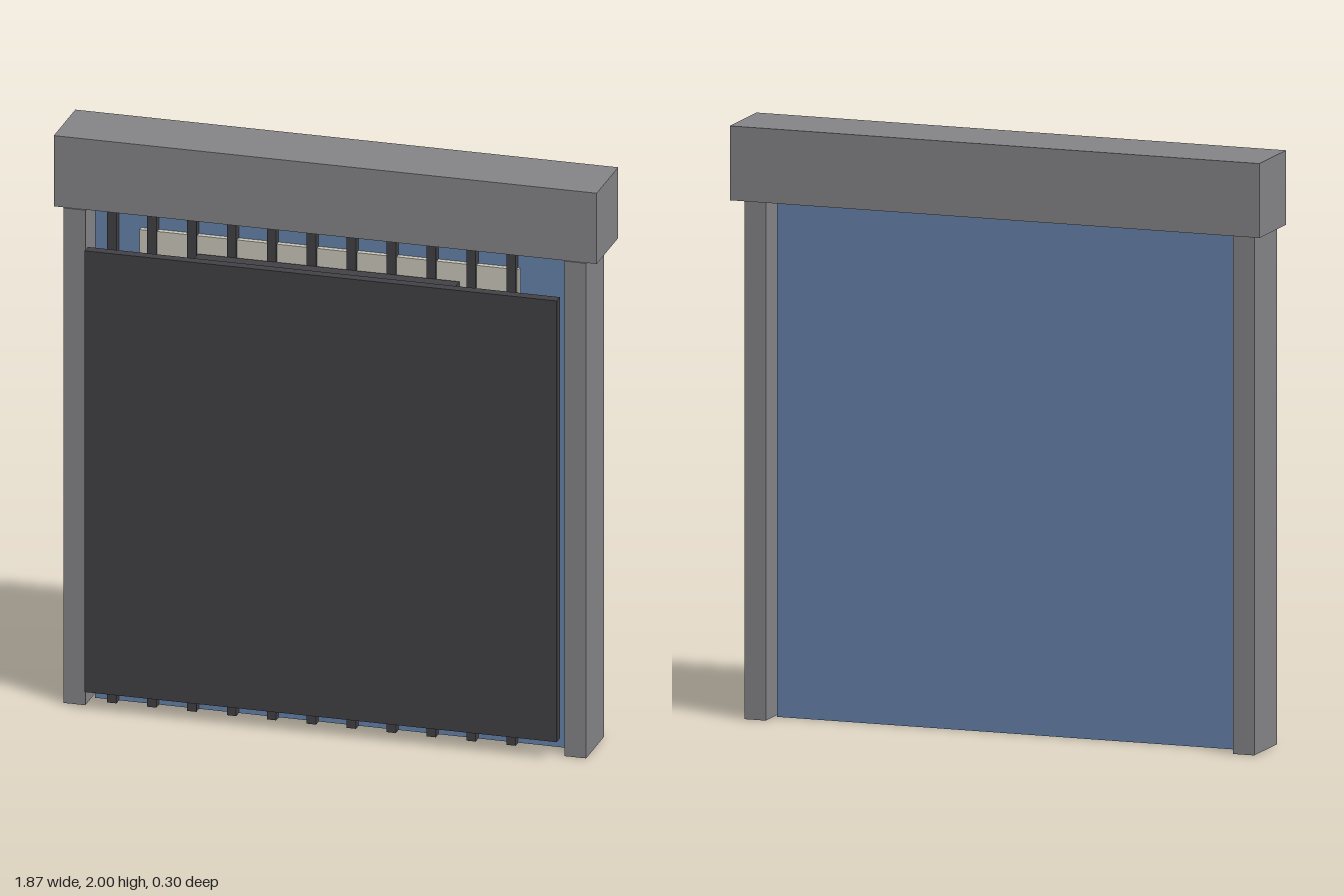
import * as THREE from 'three';

const paint = (color) => new THREE.MeshStandardMaterial({ color, flatShading: true });

export function createModel() {
  const model = new THREE.Group();
  model.name = 'shutterDoor';

  const grey = paint(0x848488);
  const dark = paint(0x424146);
  const blue = paint(0x6683ab);
  const cream = paint(0xcac7ba);

  // Box given by its extents on each axis
  function block(name, material, [x0, x1], [y0, y1], [z0, z1]) {
    const mesh = new THREE.Mesh(new THREE.BoxGeometry(x1 - x0, y1 - y0, z1 - z0), material);
    mesh.position.set((x0 + x1) / 2, (y0 + y1) / 2, (z0 + z1) / 2);
    mesh.name = name;
    model.add(mesh);
  }

  // Frame: header box on two posts
  block('header', grey, [-0.935, 0.935], [1.75, 2], [-0.15, 0.1]);
  block('rightPost', grey, [-0.9, -0.825], [0, 1.75], [-0.105, 0.105]);
  block('leftPost', grey, [0.825, 0.9], [0, 1.75], [-0.105, 0.105]);

  // Blue door leaf between the posts
  block('doorPanel', blue, [-0.813, 0.813], [0, 1.75], [-0.03, 0.03]);

  // Upright ribs on the front of the leaf
  for (let i = 0; i < 11; i++) {
    const x = -0.747 + i * 0.1375;
    block('rib', dark, [x - 0.016, x + 0.016], [0, 1.75], [0.03, 0.06]);
  }

  // Pale board between the ribs
  block('paleBoard', cream, [-0.655, 0.65], [0.12, 1.68], [0.03, 0.05]);

  // Dark front sheet with its mounting bar
  block('mountingBar', dark, [-0.45, 0.45], [1.54, 1.62], [0.06, 0.115]);
  block('frontSheet', dark, [-0.813, 0.813], [0.065, 1.625], [0.115, 0.152]);

  return model;
}
